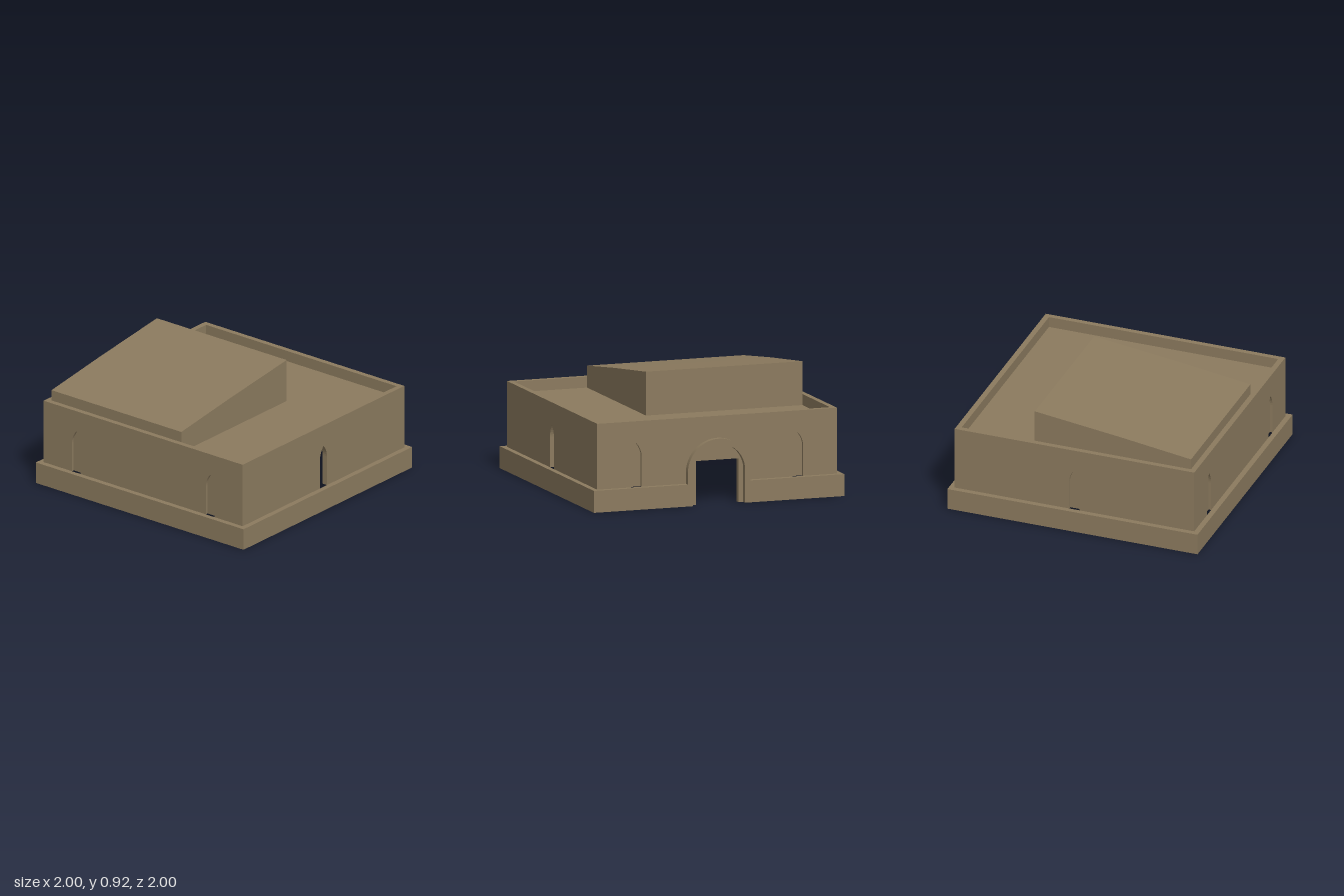
import * as THREE from 'three';
import { toCreasedNormals } from 'three/addons/utils/BufferGeometryUtils.js';

const OUT = 0.9583, IN = 0.9167, T = OUT - IN;   // wall faces and thickness
const BASE = 0.1667, ROOF = 0.5833, TOP = 0.6667; // main heights
const WIN = 0.0417;                               // half width of a window
const ARCH_OUT = 0.25, ARCH_IN = 0.2083, DOOR = 0.17;

const stone = new THREE.MeshStandardMaterial({ color: 0x8b7a5e, side: THREE.DoubleSide });
stone.name = 'sandstone';

function part(parent, name, geometry) {
  const mesh = new THREE.Mesh(geometry, stone);
  mesh.name = name;
  parent.add(mesh);
  return mesh;
}

const polygon = (pts) => new THREE.Shape(pts.map(([x, y]) => new THREE.Vector2(x, y)));

// Sheet swept along z from an open outline in xy
function sheet(pts, z0, z1) {
  const v = [];
  for (let i = 0; i < pts.length - 1; i++) {
    const [[ax, ay], [bx, by]] = [pts[i], pts[i + 1]];
    v.push(ax, ay, z0, bx, by, z0, bx, by, z1, ax, ay, z0, bx, by, z1, ax, ay, z1);
  }
  const g = new THREE.BufferGeometry();
  g.setAttribute('position', new THREE.Float32BufferAttribute(v, 3));
  g.computeVertexNormals();
  return g;
}

// Pointed window outline, drawn from its left foot to its right foot
function windowPath(path, u) {
  path.lineTo(u - WIN, 0.4);
  path.quadraticCurveTo(u - WIN, 0.45, u, 0.5);
  path.quadraticCurveTo(u + WIN, 0.45, u + WIN, 0.4);
  path.lineTo(u + WIN, BASE);
}

// Wall with window notches, an optional doorway and optional recessed window panels
function wall(name, half, windows, { door = false, panels = true } = {}) {
  const group = new THREE.Group();
  group.name = name;
  const s = new THREE.Shape();
  s.moveTo(-half, BASE);
  const openings = door ? [windows[0], null, windows[1]] : windows;
  for (const u of openings) {
    if (u === null) {
      for (const [x, y] of [[-ARCH_IN, BASE], [-ARCH_IN, 0], [-DOOR, 0], [-DOOR, 0.3333],
        [DOOR, 0.3333], [DOOR, 0], [ARCH_IN, 0], [ARCH_IN, BASE]]) s.lineTo(x, y);
    } else {
      s.lineTo(u - WIN, BASE);
      windowPath(s, u);
    }
  }
  s.lineTo(half, BASE);
  s.lineTo(half, TOP);
  s.lineTo(-half, TOP);
  s.closePath();
  const g = new THREE.ExtrudeGeometry(s, { depth: T, bevelEnabled: false, curveSegments: 6 });
  part(group, 'wallSlab', g).position.z = IN;
  if (panels) {
    for (const u of windows) {
      const p = new THREE.Shape();
      p.moveTo(u - WIN, BASE);
      windowPath(p, u);
      part(group, 'windowPanel', new THREE.ShapeGeometry(p, 6)).position.z = IN + T / 2;
    }
  }
  return group;
}

export function createModel() {
  const model = new THREE.Group();
  model.name = 'building';

  // Four walls rising into the parapet
  const front = wall('frontWall', OUT, [0], { panels: false });
  const back = wall('backWall', OUT, [0]);
  const right = wall('entranceWall', IN, [-0.645, 0.645], { door: true });
  const left = wall('sideWall', IN, [-0.645, 0.645]);
  back.rotation.y = Math.PI;
  right.rotation.y = Math.PI / 2;
  left.rotation.y = -Math.PI / 2;
  model.add(front, back, right, left);

  // Hollow plinth, interrupted by the entrance
  const a = ARCH_OUT;
  const plan = [[1, a], [1, 1], [-1, 1], [-1, -1], [1, -1], [1, -a]];
  part(model, 'plinthSides', sheet(plan, 0, -BASE).rotateX(Math.PI / 2));
  const ledge = polygon([...plan, [OUT, -a], [OUT, -OUT], [-OUT, -OUT], [-OUT, OUT], [OUT, OUT], [OUT, a]]);
  part(model, 'plinthLedge', new THREE.ShapeGeometry(ledge).rotateX(Math.PI / 2)).position.y = BASE;

  // Round arch around the entrance
  const arch = new THREE.Shape();
  arch.moveTo(ARCH_OUT, 0);
  arch.lineTo(ARCH_OUT, 0.25);
  arch.absarc(0, 0.25, ARCH_OUT, 0, Math.PI, false);
  arch.lineTo(-ARCH_OUT, 0);
  arch.lineTo(-ARCH_IN, 0);
  arch.lineTo(-ARCH_IN, 0.25);
  arch.absarc(0, 0.25, ARCH_IN, Math.PI, 0, true);
  arch.lineTo(ARCH_IN, 0);
  arch.closePath();
  const archGeo = new THREE.ExtrudeGeometry(arch, { depth: 1 - OUT, bevelEnabled: false, curveSegments: 24 });
  const frame = part(model, 'entranceArch', toCreasedNormals(archGeo, 0.5));
  frame.rotation.y = Math.PI / 2;
  frame.position.x = OUT;

  // Flat roof, open beneath the raised block
  const b = 0.3333;
  const roof = polygon([[-IN, b], [-IN, IN], [IN, IN], [IN, -IN], [b, -IN], [b, b]]);
  part(model, 'flatRoof', new THREE.ShapeGeometry(roof).rotateX(Math.PI / 2)).position.y = ROOF;

  // Raised hollow block with a sloping top
  const profile = [[-IN, ROOF], [-IN, 0.75], [-0.35, 0.83], [b, 0.9167], [b, ROOF]];
  part(model, 'raisedBlockShell', sheet(profile, b, -IN));
  for (const z of [b, -IN]) {
    part(model, 'raisedBlockEnd', new THREE.ShapeGeometry(polygon(profile))).position.z = z;
  }
  return model;
}
